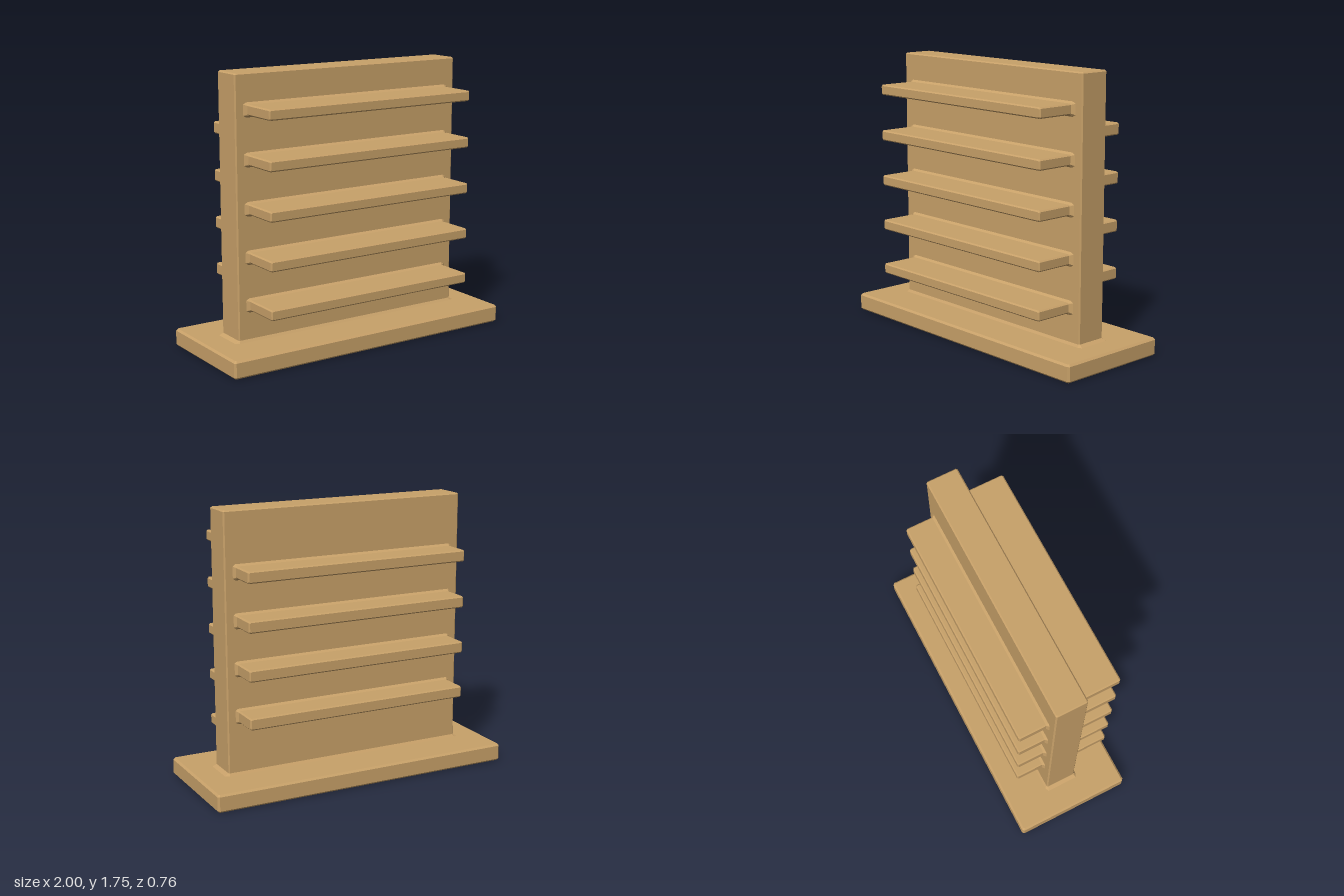
import * as THREE from 'three';

// Rectangle outline with cut corners, counter-clockwise
function outline([z, w, h, cx, cy]) {
  return [
    [w, -h + cy], [w, h - cy], [w - cx, h], [-w + cx, h],
    [-w, h - cy], [-w, -h + cy], [-w + cx, -h], [w - cx, -h],
  ].map(([x, y]) => [x, y, z]);
}

// Lofts sections [z, halfWidth, halfHeight, cutX, cutY] along +z and caps both ends
function loft(sections) {
  const rings = sections.map(outline);
  const pos = [];
  const tri = (a, b, c) => pos.push(...a, ...b, ...c);
  for (let i = 0; i < rings.length - 1; i++) {
    for (let j = 0; j < 8; j++) {
      const k = (j + 1) % 8;
      const a = rings[i], b = rings[i + 1];
      tri(a[j], a[k], b[k]);
      tri(a[j], b[k], b[j]);
    }
  }
  const first = rings[0], last = rings[rings.length - 1];
  for (let j = 1; j < 7; j++) {
    tri(first[0], first[j + 1], first[j]);
    tri(last[0], last[j], last[j + 1]);
  }
  const g = new THREE.BufferGeometry();
  g.setAttribute('position', new THREE.Float32BufferAttribute(pos, 3));
  g.computeVertexNormals();
  return g;
}

// Bar with a flared root and a bevelled tip
function flaredBar(start, end, w, h, flareX, flareY, bevel) {
  return loft([
    [start - 0.01, w + flareX, h + flareY, flareX, flareY],
    [start, w + flareX, h + flareY, flareX, flareY],
    [start + 0.015, w, h, bevel, bevel],
    [end - bevel, w, h, bevel, bevel],
    [end, w - bevel, h - bevel, bevel / 2, bevel / 2],
  ]);
}

export function createModel() {
  const group = new THREE.Group();
  const wood = new THREE.MeshStandardMaterial({ color: 0xc8a169, flatShading: true });
  const add = (name, geometry) => {
    const mesh = new THREE.Mesh(geometry, wood);
    mesh.name = name;
    group.add(mesh);
    return mesh;
  };

  // Foot plate with bevelled edges
  const b = 0.012;
  add('base', loft([
    [0, 1 - b, 0.38 - b, b / 2, b / 2],
    [b, 1, 0.38, b, b],
    [0.113 - b, 1, 0.38, b, b],
    [0.113, 1 - b, 0.38 - b, b / 2, b / 2],
  ]).rotateX(-Math.PI / 2));

  // Upright panel
  add('panel', flaredBar(0.113, 1.75, 0.813, 0.102, 0.025, 0.012, 0.008)
    .rotateX(-Math.PI / 2));

  // Five deep shelves at the front
  for (let i = 0; i < 5; i++) {
    add('frontShelf' + (i + 1), flaredBar(0.102, 0.365, 0.737, 0.033, 0.022, 0.012, 0.008))
      .position.y = 0.34 + i * 0.298;
  }

  // Four shallower shelves at the back, staggered between the front ones
  for (let i = 0; i < 4; i++) {
    const shelf = add('backShelf' + (i + 1),
      flaredBar(0.102, 0.293, 0.745, 0.037, 0.015, 0.012, 0.008));
    shelf.rotation.y = Math.PI;
    shelf.position.y = 0.485 + i * 0.298;
  }
  return group;
}
